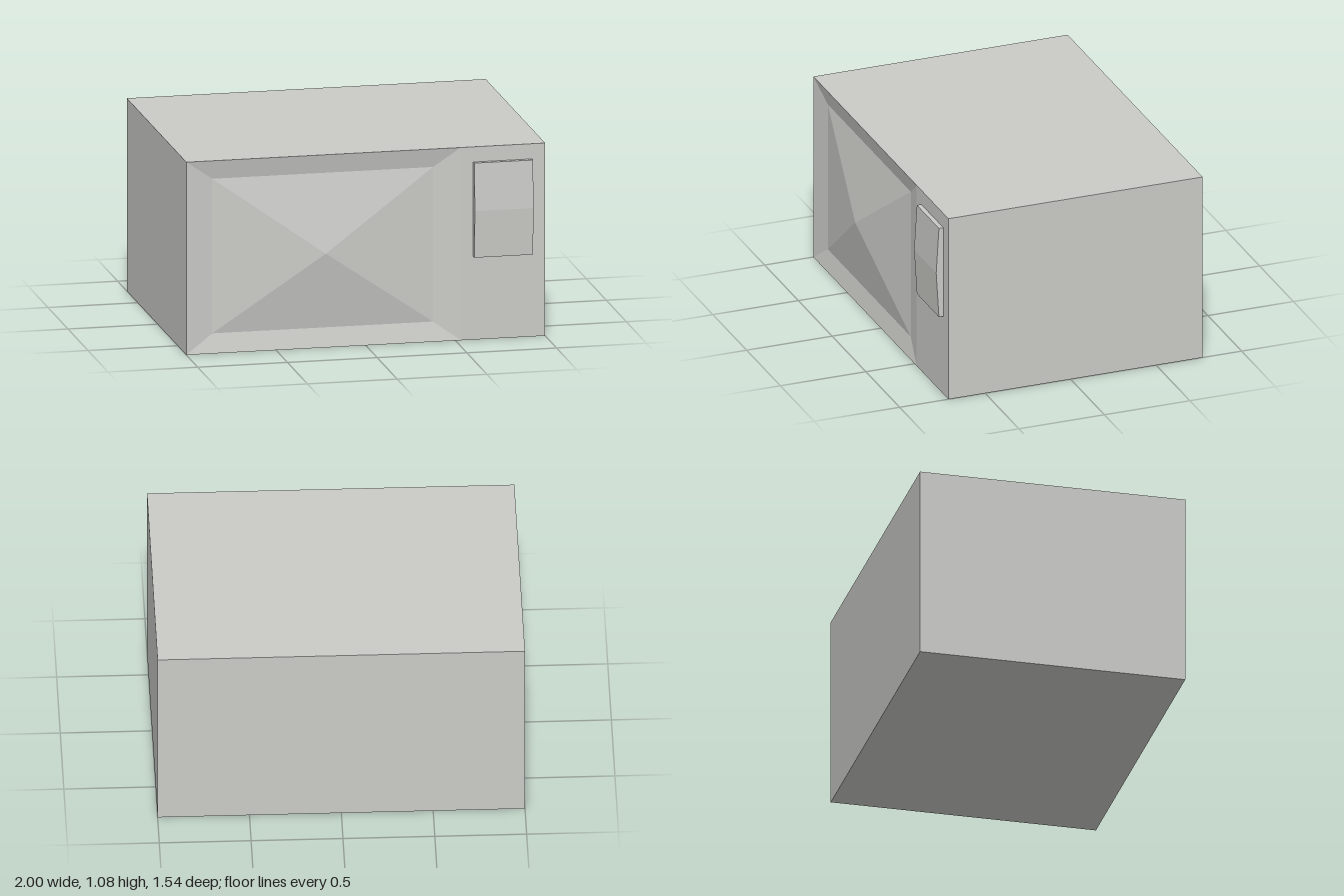
import * as THREE from 'three';

const grey = new THREE.MeshStandardMaterial({ color: 0xcacac7 });
grey.name = 'warm light grey';

const W = 2, H = 1.08, BACK = -0.772, FRONT = 0.715;
const DOOR_RIGHT = 0.53;

function addMesh(group, name, geometry) {
  const mesh = new THREE.Mesh(geometry, grey);
  mesh.name = name;
  group.add(mesh);
  return mesh;
}

// Four corners of a rectangle, counter-clockwise seen from the front
const ring = (x0, x1, y0, y1, z) => [[x0, y0, z], [x1, y0, z], [x1, y1, z], [x0, y1, z]];

// Flat-faced surface joining each rectangle to the next and closing on an apex
function steppedPyramid(rings, apex) {
  const pos = [];
  for (let i = 0; i < 4; i++) {
    const j = (i + 1) % 4;
    for (let r = 0; r < rings.length - 1; r++) {
      const a = rings[r], b = rings[r + 1];
      pos.push(...a[i], ...a[j], ...b[j], ...a[i], ...b[j], ...b[i]);
    }
    const last = rings[rings.length - 1];
    pos.push(...last[i], ...last[j], ...apex);
  }
  const geo = new THREE.BufferGeometry();
  geo.setAttribute('position', new THREE.Float32BufferAttribute(pos, 3));
  geo.computeVertexNormals();
  return geo;
}

export function createModel() {
  const group = new THREE.Group();
  group.name = 'microwaveOven';

  // Casing: a box left open at the front
  const box = new THREE.BoxGeometry(W, H, FRONT - BACK);
  const index = Array.from(box.index.array);
  index.splice(24, 6);
  box.setIndex(index);
  box.clearGroups();
  addMesh(group, 'casing', box).position.set(0, H / 2, (FRONT + BACK) / 2);

  // Flat front beside the door
  const stripWidth = W / 2 - DOOR_RIGHT;
  addMesh(group, 'controlFascia', new THREE.PlaneGeometry(stripWidth, H))
    .position.set(DOOR_RIGHT + stripWidth / 2, H / 2, FRONT);

  // Door: frame slopes inwards, then the window rises to a point
  addMesh(group, 'door', steppedPyramid([
    ring(-1, DOOR_RIGHT, 0, H, FRONT),
    ring(-0.85, 0.38, 0.107, 0.973, 0.69),
  ], [-0.235, H / 2, 0.772]));

  // Control panel: side profile with a shallow ridge, extruded across x
  const profile = new THREE.Shape([
    [FRONT, 0.465], [0.741, 0.465], [0.757, 0.73], [0.741, 0.995], [FRONT, 0.995],
  ].map(([z, y]) => new THREE.Vector2(-z, y)));
  const panel = new THREE.ExtrudeGeometry(profile, { depth: 0.327, bevelEnabled: false });
  panel.rotateY(Math.PI / 2); // profile x becomes -z, depth becomes +x
  addMesh(group, 'controlPanel', panel).position.x = 0.599;

  return group;
}
